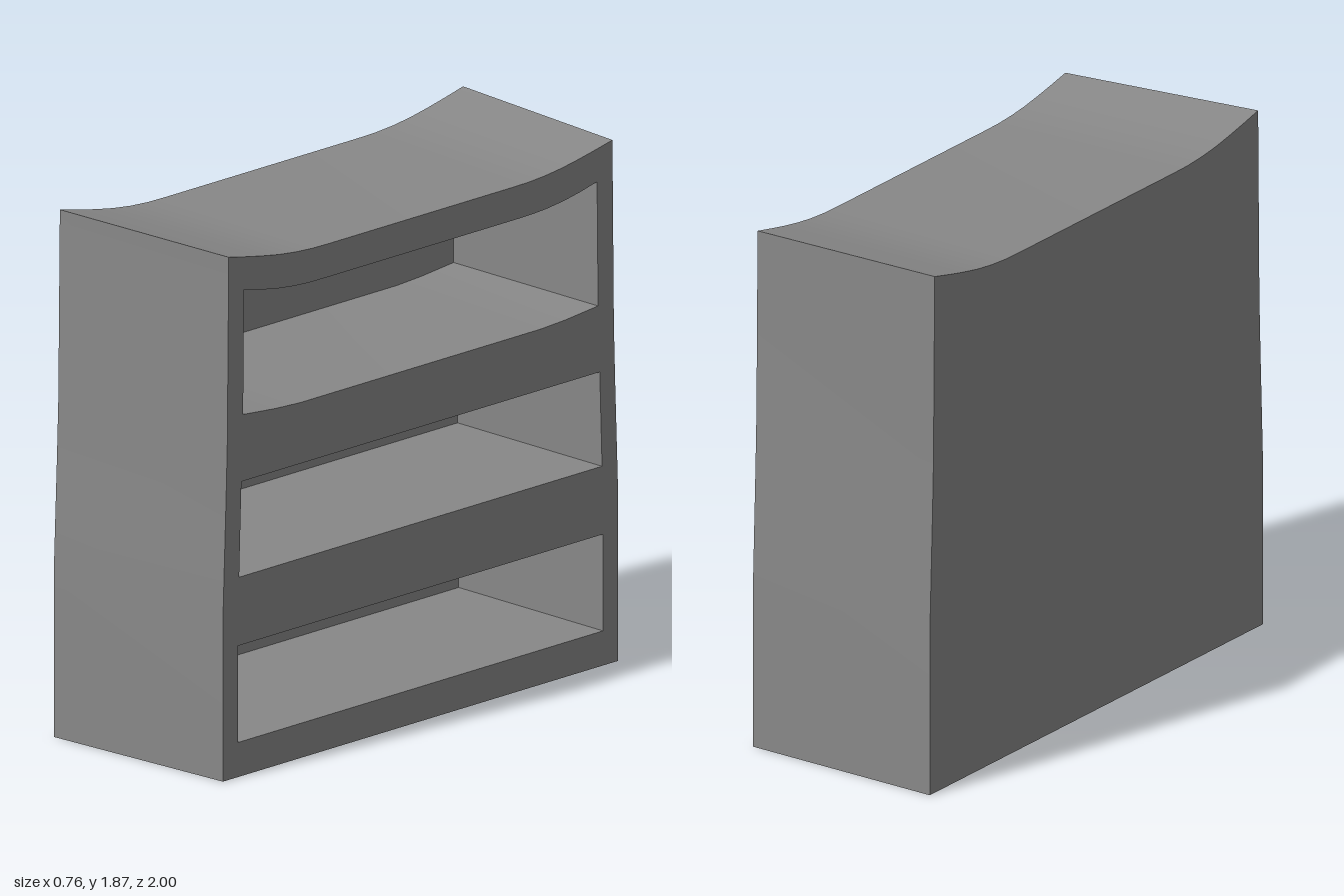
import * as THREE from 'three';
import { toCreasedNormals } from 'three/addons/utils/BufferGeometryUtils.js';

const FRONT = 0.38, BACK = -0.38, CAVITY_BACK = -0.31;

// Mirror a right-hand half outline (bottom to top) into a closed counter-clockwise outline
const mirrored = (half) =>
  [...half, ...half.map(([u, v]) => [-u, v]).reverse()].map(([u, v]) => new THREE.Vector2(u, v));

// Outlines at the open face
const OUTER = mirrored([
  [0.952, 0], [0.952, 0.58], [0.946, 0.75], [0.937, 1.0], [0.931, 1.2], [0.924, 1.86],
  [0.84, 1.843], [0.76, 1.828], [0.68, 1.815], [0.6, 1.806], [0.52, 1.801], [0.44, 1.8],
]);
const OPENINGS = {
  lower: mirrored([[0.879, 0.123], [0.879, 0.467]]),
  middle: mirrored([[0.874, 0.71], [0.863, 1.048]]),
  upper: mirrored([
    [0.58, 1.265], [0.7, 1.271], [0.855, 1.285], [0.85, 1.728],
    [0.77, 1.71], [0.69, 1.696], [0.61, 1.687], [0.54, 1.683], [0.46, 1.682],
  ]),
};

// Widen the casing towards the closed side and lift its raised rims a little
function flare(geometry) {
  const p = geometry.attributes.position;
  for (let i = 0; i < p.count; i++) {
    const t = (FRONT - p.getZ(i)) / (FRONT - BACK);
    const y = p.getY(i);
    p.setX(i, p.getX(i) * (1 + 0.051 * t));
    if (y > 1.8) p.setY(i, y + (0.01 * t * (y - 1.8)) / 0.06);
  }
  return geometry;
}

// Band of walls running along the outline between two depths
function walls(points, z0, z1) {
  const pos = [];
  points.forEach((a, i) => {
    const b = points[(i + 1) % points.length];
    pos.push(a.x, a.y, z0, b.x, b.y, z0, b.x, b.y, z1);
    pos.push(a.x, a.y, z0, b.x, b.y, z1, a.x, a.y, z1);
  });
  const g = new THREE.BufferGeometry();
  g.setAttribute('position', new THREE.Float32BufferAttribute(pos, 3));
  return g;
}

// Flat panel filling an outline, with optional holes
function panel(points, z, holes = [], flip = false) {
  const shape = new THREE.Shape(points);
  shape.holes = holes.map((h) => new THREE.Path(h));
  const g = new THREE.ShapeGeometry(shape);
  if (flip) g.rotateY(Math.PI);
  return g.translate(0, 0, z);
}

export function createModel() {
  const model = new THREE.Group();
  model.name = 'shelfUnit';
  const material = new THREE.MeshStandardMaterial({ color: 0x888888 });
  // Outlines are drawn facing +z, so each part is turned to face +x
  const add = (name, geometry) => {
    const mesh = new THREE.Mesh(toCreasedNormals(geometry.rotateY(Math.PI / 2), 0.4), material);
    mesh.name = name;
    model.add(mesh);
  };

  // Casing
  add('outerCasing', flare(walls(OUTER, BACK, FRONT)));
  add('backPanel', flare(panel(OUTER, BACK, [], true)));
  add('shelfFrame', panel(OUTER, FRONT, Object.values(OPENINGS)));

  // Straight shelf compartments, walls facing inwards
  for (const [name, outline] of Object.entries(OPENINGS)) {
    add(name + 'CompartmentWalls', walls([...outline].reverse(), CAVITY_BACK, FRONT));
    add(name + 'CompartmentBack', panel(outline, CAVITY_BACK));
  }
  return model;
}
